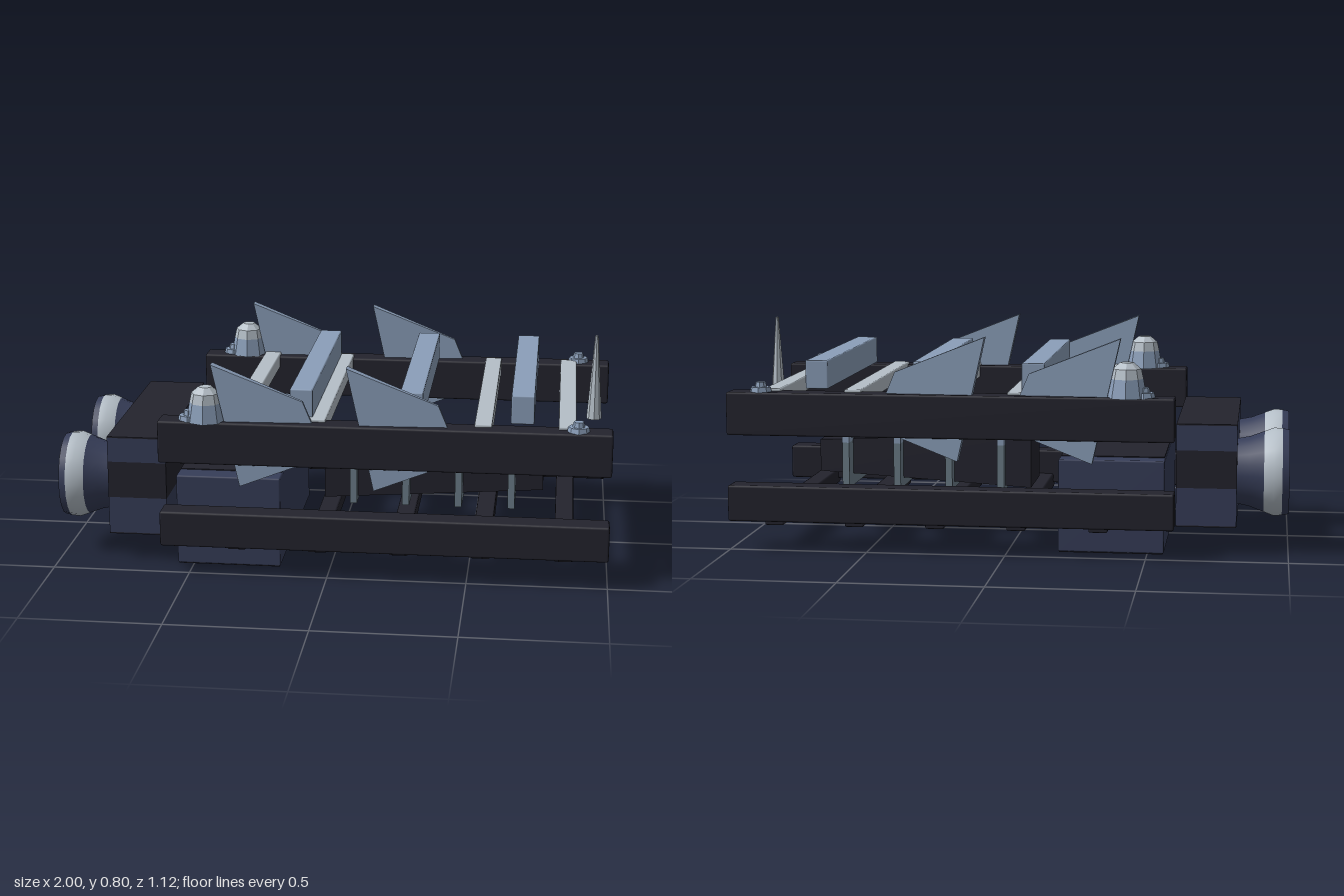
import * as THREE from 'three';
import { RoundedBoxGeometry } from 'three/addons/geometries/RoundedBoxGeometry.js';

const mat = (name, color) => {
  const m = new THREE.MeshStandardMaterial({ color, side: THREE.DoubleSide });
  m.name = name;
  return m;
};

export function createModel() {
  const root = new THREE.Group();
  root.name = 'spaceFrame';
  const dark = mat('darkFrame', 0x23232d);
  const navy = mat('navyHull', 0x363d58);
  const blue = mat('blueSteel', 0x8b9fba);
  const grey = mat('greySteel', 0x6c7d89);
  const light = mat('lightMetal', 0xb5bfc8);
  const nozzle = mat('nozzleGrey', 0x8d9599);

  const add = (name, geo, material, parent = root) => {
    const m = new THREE.Mesh(geo, material);
    m.name = name;
    parent.add(m);
    return m;
  };
  // box given by its minimum and maximum on each axis
  const box = (name, material, x0, x1, y0, y1, z0, z1, bevel = 0) => {
    const s = [x1 - x0, y1 - y0, z1 - z0];
    const g = bevel ? new RoundedBoxGeometry(...s, 1, bevel) : new THREE.BoxGeometry(...s);
    g.translate((x0 + x1) / 2, (y0 + y1) / 2, (z0 + z1) / 2);
    return add(name, g, material);
  };
  const faceted = (g) => {
    const f = g.toNonIndexed();
    f.computeVertexNormals();
    return f;
  };
  // faceted upright frustum
  const frustum = (name, material, x, z, y0, y1, r0, r1, sides = 8) => {
    const g = faceted(new THREE.CylinderGeometry(r1, r0, y1 - y0, sides));
    return add(name, g.translate(x, (y0 + y1) / 2, z), material);
  };

  // long side rails, upper and lower
  for (const s of [-1, 1]) {
    const z0 = s * 0.482 - 0.047, z1 = s * 0.482 + 0.047;
    box('upperRail', dark, -0.6, 1, 0.42, 0.575, z0, z1, 0.008);
    box('lowerRail', dark, -0.6, 1, 0.108, 0.238, z0, z1, 0.008);
  }

  // evenly spaced cross bars
  for (let i = 0; i < 5; i++) {
    const x = -0.33 + i * 0.293;
    box('upperCrossBar', light, x - 0.031, x + 0.031, 0.528, 0.585, -0.477, 0.477, 0.005);
    box('lowerCrossBar', dark, x - 0.034, x + 0.034, 0.087, 0.145, -0.48, 0.48, 0.006);
  }

  // heavy deck beams
  for (const x of [-0.095, 0.295, 0.685])
    box('deckBeam', blue, x - 0.041, x + 0.041, 0.582, 0.685, -0.45, 0.45, 0.005);

  // tapered central spine
  const spine = new THREE.BoxGeometry(0.81, 1, 1);
  const sp = spine.attributes.position;
  for (let i = 0; i < sp.count; i++) {
    const rear = sp.getX(i) < 0;
    sp.setY(i, sp.getY(i) * (rear ? 0.2 : 0.12));
    sp.setZ(i, sp.getZ(i) * (rear ? 0.262 : 0.16));
  }
  spine.translate(0.355, 0.284, 0);
  add('spine', faceted(spine), dark);

  // ribs around the spine
  for (let i = 0; i < 4; i++) {
    const x = 0.06 + i * 0.195;
    box('ribUpper', blue, x - 0.013, x + 0.013, 0.345, 0.395, -0.162, 0.162);
    box('ribLower', grey, x - 0.013, x + 0.013, 0.173, 0.345, -0.162, 0.162);
  }

  // cargo tank with dark top and bottom panels
  box('tank', navy, -0.56, -0.18, 0.003, 0.337, -0.408, 0.408, 0.006);
  box('tankTopPanel', dark, -0.556, -0.184, 0.335, 0.34, -0.33, 0.33);
  box('tankBottomPanel', dark, -0.556, -0.184, 0, 0.005, -0.403, 0.403);

  // engine block with a dark belt
  box('engineLower', navy, -0.815, -0.6, 0.105, 0.24, -0.39, 0.39);
  box('engineBelt', dark, -0.815, -0.6, 0.24, 0.375, -0.39, 0.39);
  box('engineUpper', navy, -0.815, -0.6, 0.375, 0.465, -0.39, 0.39);
  box('engineTopPanel', dark, -0.815, -0.6, 0.465, 0.47, -0.39, 0.39);
  box('engineBottomPanel', dark, -0.815, -0.6, 0.1, 0.105, -0.39, 0.39);

  // thrusters: short turned sections, axis pointing to -x
  const sections = [
    ['thrusterBody', navy, [[0.118, 0.81], [0.128, 0.86], [0.147, 0.91]]],
    ['thrusterRing', light, [[0.147, 0.91], [0.16, 0.945], [0.158, 0.975]]],
    ['thrusterLip', navy, [[0.158, 0.975], [0.153, 1]]],
    ['thrusterRim', dark, [[0.153, 1], [0.122, 1]]],
    ['thrusterInside', dark, [[0.122, 1], [0.112, 0.94]]],
    ['thrusterCore', nozzle, [[0.112, 0.94], [0, 0.94]]],
  ];
  for (const z of [-0.257, 0.257]) {
    const t = new THREE.Group();
    t.name = 'thruster';
    for (const [name, material, pts] of sections)
      add(name, new THREE.LatheGeometry(pts.map((p) => new THREE.Vector2(...p)), 20), material, t);
    t.rotation.z = Math.PI / 2;
    t.scale.z = 0.91;
    t.position.set(0, 0.284, z);
    root.add(t);
  }

  // swept fins, thick at the rear edge and thin at the front
  const corners = [[0.07, 0.78], [0.168, 0.337], [0.475, 0.455], [0.393, 0.652]];
  const half = [0.02, 0.02, 0.007, 0.007];
  const quads = [[0, 1, 2, 3], [7, 6, 5, 4], [0, 4, 5, 1], [1, 5, 6, 2], [2, 6, 7, 3], [3, 7, 4, 0]];
  const fin = (dx, z) => {
    const p = [];
    for (const s of [1, -1]) corners.forEach(([x, y], i) => p.push(x + dx, y, z + s * half[i]));
    const g = new THREE.BufferGeometry();
    g.setAttribute('position', new THREE.Float32BufferAttribute(p, 3));
    g.setIndex(quads.flatMap(([a, b, c, d]) => [a, b, c, a, c, d]));
    add('fin', faceted(g), blue);
  };

  for (const z of [-0.488, 0.488]) {
    fin(0, z);
    fin(-0.478, z);
    // domed turret at the rear of each rail
    frustum('turretBase', blue, -0.43, z, 0.573, 0.64, 0.07, 0.058);
    frustum('turretShoulder', light, -0.43, z, 0.64, 0.675, 0.058, 0.05);
    frustum('turretCap', light, -0.43, z, 0.675, 0.697, 0.05, 0.024);
    // small mounts at both rail ends
    for (const x of [-0.49, 0.88]) {
      frustum('mountBase', blue, x, z, 0.573, 0.592, 0.04, 0.036);
      frustum('mountKnob', blue, x, z, 0.592, 0.61, 0.022, 0.018);
    }
  }

  // antenna spike at the nose
  frustum('antenna', light, 0.94, 0, 0.485, 0.8, 0.028, 0.006);

  return root;
}
